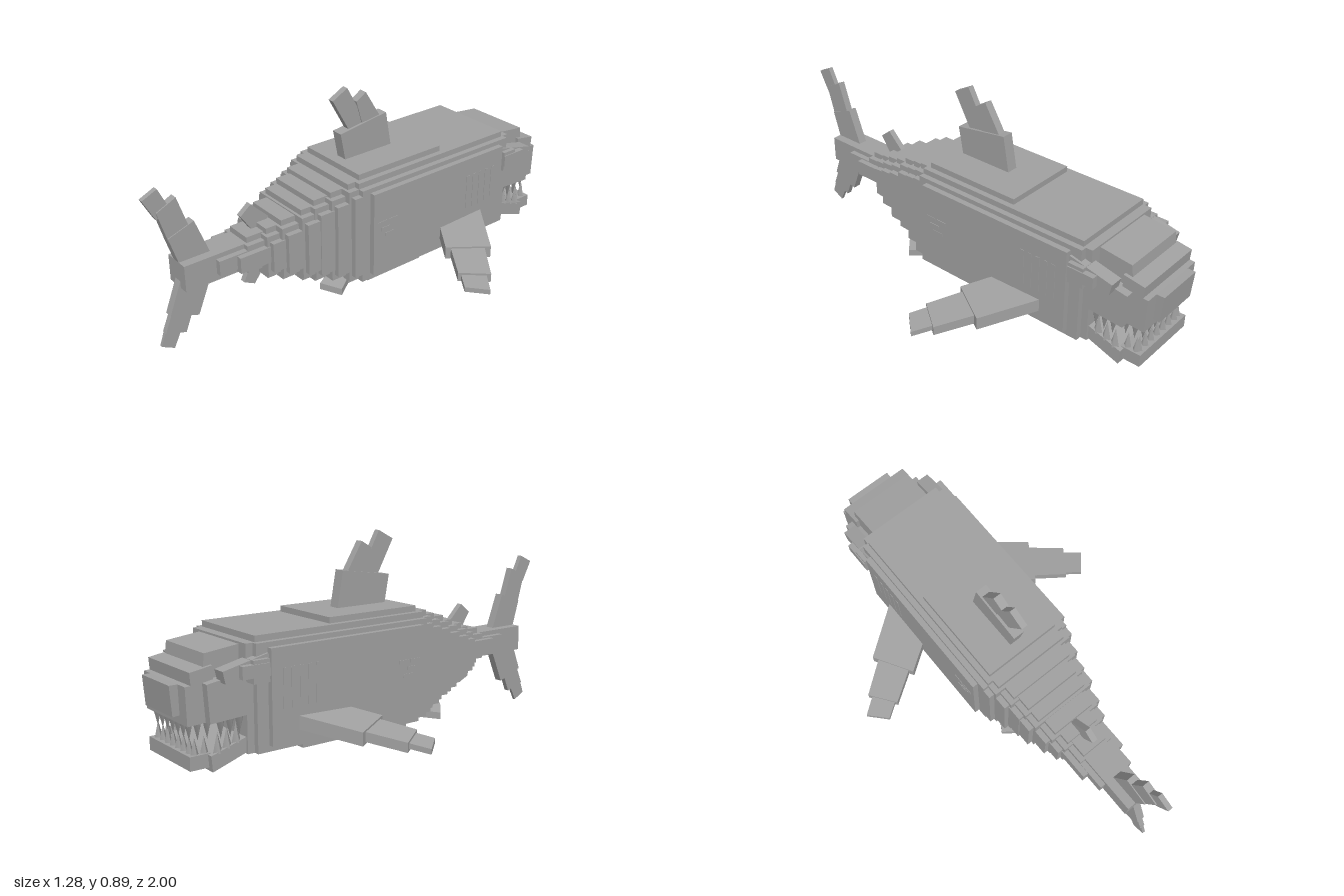
import * as THREE from 'three';

export function createModel() {
  const model = new THREE.Group();
  const grey = new THREE.MeshStandardMaterial({ color: 0xa0a0a0 });

  const add = (name, geometry, parent = model) => {
    const mesh = new THREE.Mesh(geometry, grey);
    mesh.name = name;
    parent.add(mesh);
    return mesh;
  };
  const group = (name) => {
    const g = new THREE.Group();
    g.name = name;
    model.add(g);
    return g;
  };
  // box from its limits
  const box = (name, x0, x1, y0, y1, z0, z1, parent) =>
    add(name, new THREE.BoxGeometry(x1 - x0, y1 - y0, z1 - z0)
      .translate((x0 + x1) / 2, (y0 + y1) / 2, (z0 + z1) / 2), parent);
  const wide = (name, w, y0, y1, z0, z1, parent) => box(name, -w, w, y0, y1, z0, z1, parent);
  const extrude = (pts, depth) => new THREE.ExtrudeGeometry(
    new THREE.Shape(pts.map(([a, b]) => new THREE.Vector2(a, b))),
    { depth, bevelEnabled: false }).translate(0, 0, -depth / 2);
  // upright plate: outline in (z, y), centred on x = 0
  const plate = (name, half, pts, parent) =>
    add(name, extrude(pts, half * 2).rotateY(-Math.PI / 2), parent);
  // side fin: outline in (x, z), lifted by a height rule
  const fin = (name, side, thick, pts, height, parent) => {
    const g = extrude(pts.map(([x, z]) => [side * x, z]), thick).rotateX(Math.PI / 2);
    const p = g.attributes.position;
    for (let i = 0; i < p.count; i++) {
      p.setY(i, p.getY(i) + height(Math.abs(p.getX(i)), p.getZ(i)));
    }
    g.computeVertexNormals();
    add(name, g, parent);
  };

  // trunk: nested boxes give stepped corners
  const body = group('body');
  wide('flanks', 0.25, 0.13, 0.51, -0.65, 0.1, body);
  wide('trunk', 0.225, 0.105, 0.53, -0.7, 0.14, body);
  wide('neck', 0.2, 0.105, 0.53, -0.73, 0.1, body);
  wide('upperBack', 0.2, 0.3, 0.555, -0.69, 0.14, body);
  wide('lowerBelly', 0.2, 0.08, 0.3, -0.48, 0.12, body);
  wide('backRidge', 0.175, 0.3, 0.58, -0.33, 0.12, body);
  wide('bellyKeel', 0.175, 0.055, 0.3, -0.23, 0.07, body);

  // tapering rear segments: end z, half width, bottom, top
  [[0.19, 0.225, 0.085, 0.555], [0.26, 0.2, 0.105, 0.53], [0.33, 0.18, 0.13, 0.51],
    [0.39, 0.175, 0.155, 0.485], [0.47, 0.15, 0.18, 0.455], [0.53, 0.13, 0.2, 0.43],
    [0.61, 0.11, 0.245, 0.41]].forEach(([z, w, lo, hi]) => {
    for (let k = 0; k < 3; k++) {
      const inset = 0.025 * k, cut = 0.025 * (2 - k);
      wide('rearSegment', w - inset, lo + cut, hi - cut, 0, z - 0.012 * Math.abs(1 - k), body);
    }
  });
  wide('tailRoot', 0.11, 0.29, 0.36, 0.5, 0.66, body);
  wide('tailCollar', 0.085, 0.3, 0.365, 0.6, 0.74, body);
  wide('tailStem', 0.06, 0.27, 0.385, 0.5, 0.88, body);

  // tail fin
  const tail = group('tailFin');
  plate('upperLobeBase', 0.02, [[0.915, 0.5], [0.8, 0.54], [0.74, 0.38], [0.78, 0.27], [0.87, 0.27], [0.88, 0.385]], tail);
  plate('upperLobeMiddle', 0.016, [[0.95, 0.62], [0.865, 0.66], [0.82, 0.52], [0.91, 0.48]], tail);
  plate('upperLobeTip', 0.011, [[1, 0.685], [0.935, 0.715], [0.89, 0.62], [0.95, 0.59]], tail);
  plate('lowerLobeBase', 0.018, [[0.88, 0.3], [0.745, 0.3], [0.745, 0.27], [0.81, 0.115], [0.935, 0.16]], tail);
  plate('lowerLobeMiddle', 0.012, [[0.92, 0.18], [0.835, 0.14], [0.87, 0.055], [0.96, 0.085]], tail);
  plate('lowerLobeTip', 0.007, [[0.955, 0.1], [0.89, 0.07], [0.925, 0], [0.98, 0.03]], tail);

  // upper and lower small fins
  const dorsal = group('dorsalFin');
  plate('dorsalBase', 0.026, [[0.095, 0.7], [-0.15, 0.735], [-0.18, 0.57], [0.07, 0.57]], dorsal);
  plate('dorsalRearTip', 0.014, [[0.125, 0.85], [0.05, 0.89], [-0.05, 0.71], [0.03, 0.68]], dorsal);
  plate('dorsalFrontTip', 0.018, [[0.005, 0.82], [-0.045, 0.85], [-0.125, 0.72], [-0.03, 0.7]], dorsal);
  plate('smallDorsalFin', 0.013, [[0.59, 0.48], [0.54, 0.52], [0.46, 0.44], [0.51, 0.36]]);
  plate('analFin', 0.013, [[0.59, 0.175], [0.54, 0.15], [0.47, 0.24], [0.54, 0.28]]);

  // paired fins, gills and brows
  for (const side of [1, -1]) {
    const pectoral = group(side > 0 ? 'leftPectoralFin' : 'rightPectoralFin');
    const slope = (x, z) => 0.2 - 0.19 * (x - 0.25) - 0.03 * (z + 0.4);
    fin('finBase', side, 0.055, [[0.22, -0.55], [0.46, -0.385], [0.36, -0.21], [0.22, -0.3]], slope, pectoral);
    fin('finMiddle', side, 0.04, [[0.42, -0.38], [0.58, -0.265], [0.5, -0.15], [0.34, -0.25]], slope, pectoral);
    fin('finTip', side, 0.022, [[0.54, -0.27], [0.64, -0.2], [0.57, -0.12], [0.46, -0.19]], slope, pectoral);
    fin('pelvicFin', side, 0.03, [[0.06, 0.14], [0.13, 0.11], [0.21, 0.24], [0.14, 0.3]],
      (x) => 0.125 - 0.28 * (x - 0.06));
    for (let i = 0; i < 5; i++) {
      const z = -0.6 + i * 0.038;
      box('gill', side * 0.25 - 0.002, side * 0.25 + 0.002, 0.27, 0.43, z, z + 0.018);
    }
    for (const [y, z] of [[0.36, 0], [0.33, 0.04], [0.36, 0.06], [0.3, 0.02]]) {
      box('scar', side * 0.25 - 0.002, side * 0.25 + 0.002, y, y + 0.015, z - 0.03, z + 0.02);
    }
    box('cheekBlock', side * 0.225 - 0.03, side * 0.225 + 0.03, 0.385, 0.475, -0.73, -0.66);
    const brow = box('brow', -0.03, 0.03, -0.025, 0.025, -0.1, 0.1);
    brow.position.set(side * 0.205, 0.445, -0.745);
    brow.rotation.x = -0.22;
    box('eyeRidge', side * 0.23 - 0.03, side * 0.23 + 0.03, 0.41, 0.46, -0.78, -0.66);
  }

  // head
  const head = group('head');
  plate('skull', 0.15, [[-0.7, 0.525], [-0.875, 0.505], [-0.89, 0.38], [-0.7, 0.38]], head);
  plate('upperFace', 0.2, [[-0.7, 0.43], [-0.895, 0.4], [-0.885, 0.25], [-0.7, 0.26]], head);
  plate('forehead', 0.165, [[-0.85, 0.46], [-0.945, 0.445], [-0.94, 0.38], [-0.85, 0.38]], head);
  plate('snout', 0.165, [[-0.85, 0.4], [-0.965, 0.395], [-0.96, 0.245], [-0.85, 0.25]], head);
  plate('nose', 0.11, [[-0.94, 0.395], [-1, 0.395], [-0.99, 0.275], [-0.94, 0.28]], head);

  // lower jaw
  const jaw = group('lowerJaw');
  plate('jawBase', 0.19, [[-0.7, 0.18], [-0.88, 0.125], [-0.875, 0.062], [-0.7, 0.12]], jaw);
  wide('jawFront', 0.165, 0.075, 0.13, -0.955, -0.84, jaw);

  // teeth: square spikes around both jaws
  const teeth = group('teeth');
  const tooth = (x, y, z, dir) => {
    const t = add('tooth', new THREE.ConeGeometry(0.02, 0.08, 4), teeth);
    t.position.set(x, y + dir * 0.03, z);
    if (dir < 0) t.rotation.z = Math.PI;
  };
  for (let i = 0; i < 5; i++) {
    const z = -0.75 - i * 0.04;
    for (const side of [1, -1]) {
      const x = side * (i < 3 ? 0.175 : 0.145);
      tooth(x, 0.25, z, -1);
      tooth(x, Math.max(0.125, 0.165 - i * 0.013), z - 0.015, 1);
    }
  }
  for (let i = -3; i <= 3; i++) {
    tooth(i * 0.042, 0.25, -0.935, -1);
    tooth(i * 0.042 + 0.01, 0.125, -0.93, 1);
  }
  return model;
}
